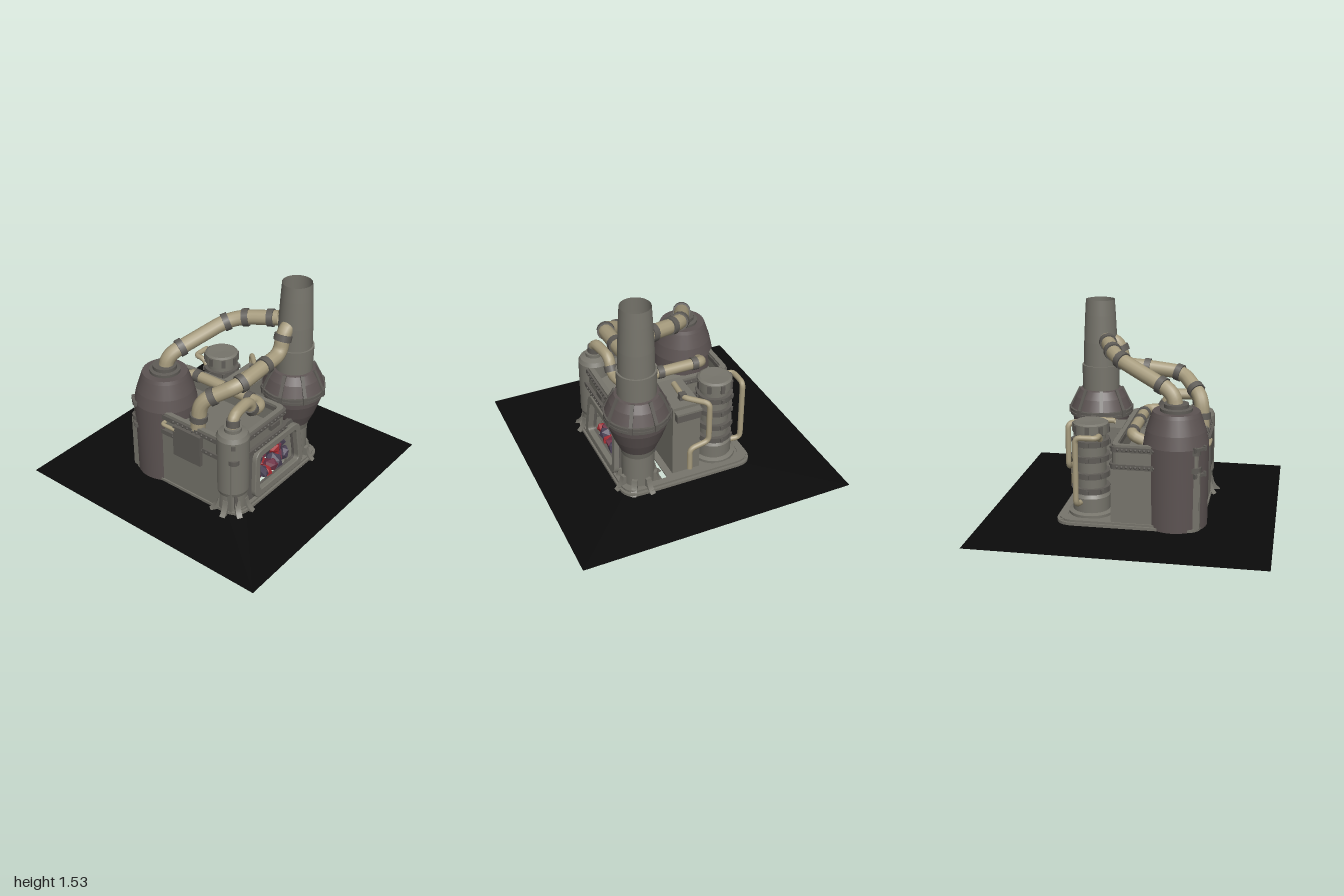
import * as THREE from 'three';

const mat = (color, flatShading = false) =>
  new THREE.MeshStandardMaterial({ color, flatShading, side: THREE.DoubleSide });
const steel = mat(0x77756c), iron = mat(0x5f5c57), rust = mat(0x5c5352), tan = mat(0xa69b7d), black = mat(0x0b0b0b);
const V = (x, y, z) => new THREE.Vector3(x, y, z);

function add(parent, name, geometry, material, x = 0, y = 0, z = 0) {
  const mesh = new THREE.Mesh(geometry, material);
  mesh.name = name;
  mesh.position.set(x, y, z);
  parent.add(mesh);
  return mesh;
}

const box = (parent, name, m, w, h, d, x, y, z) => add(parent, name, new THREE.BoxGeometry(w, h, d), m, x, y, z);

// Turned part; profile is a list of [radius, height], doubled points keep edges crisp
function turned(parent, name, profile, m, x, z, sides = 28) {
  const pts = [];
  profile.forEach(([r, y], i) => {
    pts.push(new THREE.Vector2(r, y));
    if (i && i < profile.length - 1) pts.push(new THREE.Vector2(r, y + 1e-4));
  });
  return add(parent, name, new THREE.LatheGeometry(pts, sides), m, x, 0, z);
}

// Polygon with rounded corners
function rounded(corners, r, target = new THREE.Shape()) {
  const p = corners.map(([x, y]) => new THREE.Vector2(x, y)), n = p.length;
  p.forEach((c, i) => {
    const toward = q => c.clone().add(q.clone().sub(c).setLength(r));
    const a = toward(p[(i + n - 1) % n]), b = toward(p[(i + 1) % n]);
    i ? target.lineTo(a.x, a.y) : target.moveTo(a.x, a.y);
    target.quadraticCurveTo(c.x, c.y, b.x, b.y);
  });
  target.closePath();
  return target;
}
const rect = (x0, x1, z0, z1) => [[x0, -z0], [x0, -z1], [x1, -z1], [x1, -z0]];

// Horizontal ring with rounded corners, cut from a plan
function planRing(parent, name, m, b, wall, r, y, height) {
  const shape = rounded(rect(...b), r);
  shape.holes.push(rounded(rect(b[0] + wall, b[1] - wall, b[2] + wall, b[3] - wall), r * 0.8, new THREE.Path()));
  const g = new THREE.ExtrudeGeometry(shape, { depth: height, bevelEnabled: false, curveSegments: 6 }).rotateX(-Math.PI / 2);
  return add(parent, name, g, m, 0, y, 0);
}

// Pipe with rounded bends, and collars at given fractions of its length
function pipe(parent, name, points, radius, bend, collars = [], m = tan) {
  const group = new THREE.Group(), path = new THREE.CurvePath();
  group.name = name;
  let from = points[0];
  for (let i = 1; i < points.length - 1; i++) {
    const c = points[i];
    const toward = q => c.clone().lerp(q, Math.min(0.48, bend / c.distanceTo(q)));
    const a = toward(points[i - 1]), b = toward(points[i + 1]);
    path.add(new THREE.LineCurve3(from, a));
    path.add(new THREE.QuadraticBezierCurve3(a, c, b));
    from = b;
  }
  path.add(new THREE.LineCurve3(from, points.at(-1)));
  add(group, 'tube', new THREE.TubeGeometry(path, 60, radius, 12), m);
  for (const t of collars) {
    const p = path.getPointAt(t);
    const c = add(group, 'collar', new THREE.CylinderGeometry(radius * 1.2, radius * 1.2, 0.045, 14), iron, p.x, p.y, p.z);
    c.quaternion.setFromUnitVectors(V(0, 1, 0), path.getTangentAt(t));
  }
  parent.add(group);
}

// Parts repeated around a vertical axis; make() builds one facing +x
function around(parent, name, n, x, z, make, phase = 0) {
  for (let i = 0; i < n; i++) {
    const g = new THREE.Group();
    g.name = name;
    g.position.set(x, 0, z);
    g.rotation.y = phase + (i / n) * Math.PI * 2;
    make(g);
    parent.add(g);
  }
}

function footFins(parent, n, x, z, r) {
  const s = new THREE.Shape();
  s.moveTo(r - 0.02, 0.1);
  s.lineTo(r + 0.065, 0.1);
  s.quadraticCurveTo(r + 0.02, 0.13, r + 0.01, 0.2);
  s.lineTo(r - 0.02, 0.2);
  around(parent, 'footFin', n, x, z, g =>
    add(g, 'fin', new THREE.ExtrudeGeometry(s, { depth: 0.04, bevelEnabled: false }), steel, 0, 0, -0.02), 0.2);
}

function rivetRow(parent, a, b, n) {
  for (let i = 0; i < n; i++) {
    const p = a.clone().lerp(b, (i + 0.5) / n);
    add(parent, 'rivet', new THREE.SphereGeometry(0.01, 6, 5), iron, p.x, p.y, p.z);
  }
}

export function createModel() {
  const root = new THREE.Group();
  root.name = 'furnace';

  // Ground sheet, cut out beneath the base
  const sheet = new THREE.Shape([[-1, -1], [1, -1], [1, 1], [-1, 1]].map(p => new THREE.Vector2(...p)));
  sheet.holes.push(rounded(rect(-0.48, 0.47, -0.48, 0.47), 0.1, new THREE.Path()));
  add(root, 'groundSheet', new THREE.ShapeGeometry(sheet).rotateX(-Math.PI / 2), black, 0, 0.1, 0);

  // Base plate and deck beside the firebox
  planRing(root, 'baseRim', steel, [-0.51, 0.5, -0.505, 0.5], 0.05, 0.13, 0.1, 0.02);
  planRing(root, 'baseStep', steel, [-0.5, 0.48, -0.49, 0.485], 0.05, 0.12, 0.12, 0.015);
  box(root, 'deck', steel, 0.36, 0.01, 0.62, 0.28, 0.125, -0.16);

  // Main housing: lower walls, two upper tiers and riveted bands
  box(root, 'leftWall', steel, 0.03, 0.41, 0.9, -0.485, 0.325, -0.02);
  box(root, 'backWall', steel, 0.59, 0.41, 0.03, -0.2, 0.325, -0.465);
  box(root, 'rightWall', steel, 0.03, 0.41, 0.58, 0.09, 0.325, -0.19);
  planRing(root, 'upperTier', steel, [-0.49, 0.1, -0.48, 0.44], 0.035, 0.05, 0.53, 0.16);
  const bands = [[0.52, [-0.505, 0.115, -0.49, 0.465]], [0.64, [-0.5, 0.11, -0.487, 0.455]]];
  for (const [y, b] of bands) {
    planRing(root, 'rivetedBand', iron, b, 0.05, 0.05, y, 0.035);
    const yc = y + 0.018, [x0, x1, z0, z1] = b;
    rivetRow(root, V(-0.3, yc, z1), V(x1 - 0.02, yc, z1), 10);
    rivetRow(root, V(x0 + 0.3, yc, z0), V(x1 - 0.04, yc, z0), 9);
    rivetRow(root, V(x0, yc, -0.1), V(x0, yc, 0.28), 9);
    rivetRow(root, V(x1, yc, z0 + 0.04), V(x1, yc, -0.12), 8);
  }
  const floor = box(root, 'hopperFloor', steel, 0.58, 0.012, 0.88, -0.195, 0.57, -0.02);
  floor.rotation.z = -0.15;

  // Front wall and window frame, leaning back slightly
  const front = new THREE.Group();
  front.name = 'fireboxFront';
  front.position.set(0, 0.12, 0.455);
  front.rotation.x = -0.07;
  root.add(front);
  const windowHole = () => rounded([[-0.255, 0.06], [0.23, 0.06], [0.205, 0.335], [-0.23, 0.335]], 0.04, new THREE.Path());
  const panel = (name, outer, r, depth, z, m) => {
    const s = rounded(outer, r);
    s.holes.push(windowHole());
    add(front, name, new THREE.ExtrudeGeometry(s, { depth, bevelEnabled: true, bevelSize: 0.006, bevelThickness: 0.006, bevelSegments: 2 }), m, 0, 0, z);
  };
  panel('frontWall', [[-0.47, 0], [0.27, 0], [0.25, 0.41], [-0.47, 0.41]], 0.02, 0.02, -0.02, iron);
  panel('windowFrame', [[-0.305, 0.02], [0.27, 0.02], [0.24, 0.375], [-0.265, 0.375]], 0.07, 0.035, 0, steel);
  box(root, 'frontBracket', iron, 0.1, 0.04, 0.03, -0.05, 0.62, 0.45);

  // Glowing coals heaped in the firebox
  let seed = 7;
  const rnd = () => (seed = (seed * 16807) % 2147483647) / 2147483647;
  const coalMats = [0xa02a30, 0xc9902c, 0x4a4154, 0xb8432c, 0x6d3346, 0x53504f].map(c => mat(c, true));
  for (let i = 0; i < 48; i++) {
    const layer = Math.floor(i / 18);
    const coal = add(root, 'coal', new THREE.IcosahedronGeometry(0.045 + rnd() * 0.02, 0), coalMats[i % 6],
      -0.22 + ((i % 9) + rnd() * 0.6) * 0.05, 0.2 + layer * 0.06 + rnd() * 0.03, 0.4 - layer * 0.06 - (i % 2) * 0.13 - rnd() * 0.06);
    coal.rotation.set(rnd() * 6, rnd() * 6, rnd() * 6);
    coal.scale.set(1.2, 0.8, 1);
  }

  // Control block on the left side, with a hooded vent
  box(root, 'sideBlock', steel, 0.31, 0.57, 0.21, 0.25, 0.41, -0.005);
  box(root, 'ventHood', iron, 0.05, 0.06, 0.18, 0.425, 0.63, -0.005);
  box(root, 'ventLip', steel, 0.06, 0.015, 0.19, 0.425, 0.665, -0.005);

  // Box and small pipe on the other side wall
  box(root, 'wallBox', iron, 0.035, 0.24, 0.24, -0.51, 0.53, 0.06);
  pipe(root, 'wallPipe', [V(-0.49, 0.62, -0.16), V(-0.525, 0.62, -0.16), V(-0.525, 0.62, -0.04)], 0.014, 0.03);

  // Large storage tank with shoulder, neck and handles
  const tx = -0.315, tz = -0.307;
  turned(root, 'largeTank', [[0, 0], [0.222, 0], [0.225, 0.68], [0.205, 0.77], [0.17, 0.875], [0.16, 0.9], [0, 0.9]], rust, tx, tz);
  turned(root, 'tankNeck', [[0.11, 0.89], [0.11, 0.92], [0.085, 0.925], [0.085, 0.95], [0, 0.95]], iron, tx, tz);
  for (const y of [0.5, 0.68]) around(root, 'tankHandle', 1, tx, tz, g => {
    box(g, 'bar', iron, 0.02, 0.02, 0.1, 0.23, y, 0);
    for (const s of [-1, 1]) box(g, 'lug', iron, 0.03, 0.035, 0.02, 0.222, y, s * 0.045);
  }, Math.PI - 0.66);

  // Chimney with collar, domed flange and funnel
  const cx = 0.335, cz = 0.335;
  turned(root, 'chimney', [[0.105, 1.53], [0.112, 1.42], [0.122, 1.22], [0.125, 1.05]], steel, cx, cz);
  turned(root, 'chimneyCollar', [[0.124, 1.05], [0.138, 1.05], [0.135, 0.87]], steel, cx, cz);
  turned(root, 'dome', [[0.135, 0.87], [0.155, 0.865], [0.19, 0.81], [0.222, 0.73]], rust, cx, cz);
  for (const y of [0.715, 0.69]) {
    turned(root, 'flange', [[0.2, y + 0.01], [0.232, y + 0.01], [0.232, y - 0.01], [0.2, y - 0.01]], iron, cx, cz);
  }
  turned(root, 'funnel', [[0.215, 0.685], [0.208, 0.63], [0.17, 0.52], [0.13, 0.43]], rust, cx, cz);
  turned(root, 'chimneyBase', [[0.13, 0.43], [0.115, 0.38], [0.115, 0.14], [0.122, 0.08], [0, 0.08]], steel, cx, cz);
  around(root, 'domeStrap', 8, cx, cz, g => {
    box(g, 'strap', iron, 0.018, 0.16, 0.025, 0.19, 0.8, 0).rotation.z = 0.46;
    box(g, 'clamp', iron, 0.03, 0.05, 0.03, 0.225, 0.71, 0);
  }, 0.2);
  footFins(root, 8, cx, cz, 0.125);

  // Slim front cylinder
  turned(root, 'frontCylinder', [[0, 0.09], [0.108, 0.09], [0.105, 0.24], [0.115, 0.27], [0.115, 0.69], [0.1, 0.72], [0.06, 0.735], [0.06, 0.76], [0, 0.76]], steel, -0.4, 0.365);
  footFins(root, 8, -0.4, 0.365, 0.1);

  // Banded boiler in the back corner
  const bx = 0.28, bz = -0.28;
  turned(root, 'boiler', [[0.16, 0.13], [0.16, 0.15], [0.13, 0.16], [0.13, 0.26], [0.105, 0.3], [0.105, 0.7], [0.122, 0.71], [0.122, 0.78], [0.105, 0.79], [0, 0.785]], steel, bx, bz);
  for (const y of [0.31, 0.42, 0.54, 0.65]) {
    turned(root, 'boilerBand', [[0.1, y - 0.02], [0.13, y - 0.02], [0.13, y + 0.02], [0.1, y + 0.02]], iron, bx, bz);
    around(root, 'bandLug', 8, bx, bz, g => box(g, 'lug', iron, 0.02, 0.03, 0.02, 0.13, y, 0));
  }
  around(root, 'capLug', 8, bx, bz, g => box(g, 'lug', iron, 0.015, 0.06, 0.03, 0.122, 0.745, 0));

  // Large pipes from the tank and the housing to the chimney
  pipe(root, 'tankPipe', [V(-0.315, 0.9, -0.307), V(-0.29, 1.02, -0.29), V(0.1, 1.18, -0.1), V(0.18, 1.215, 0), V(0.27, 1.25, 0.24)],
    0.053, 0.09, [0.22, 0.6, 0.75, 0.94]);
  pipe(root, 'housingPipe', [V(-0.45, 0.66, 0.1), V(-0.44, 0.88, 0.12), V(-0.28, 1.01, 0.325), V(0.0, 1.04, 0.335), V(0.16, 1.05, 0.335), V(0.19, 1.2, 0.335), V(0.27, 1.24, 0.335)],
    0.053, 0.08, [0.08, 0.26, 0.45, 0.66, 0.9]);

  // Medium pipe from the front cylinder across the housing
  pipe(root, 'cylinderPipe', [V(-0.4, 0.74, 0.365), V(-0.39, 0.84, 0.36), V(-0.18, 0.84, 0.33), V(-0.14, 0.72, 0.33), V(-0.01, 0.72, 0.32), V(-0.01, 0.72, -0.33), V(-0.1, 0.68, -0.33)],
    0.04, 0.07, [0.04, 0.3, 0.5, 0.66, 0.88]);

  // Thin pipes
  pipe(root, 'sidePipe', [V(0.16, 0.72, -0.02), V(0.34, 0.72, -0.01), V(0.475, 0.72, -0.145), V(0.475, 0.4, -0.145), V(0.475, 0.37, 0), V(0.475, 0.2, 0)], 0.02, 0.04);
  box(root, 'pipeClip', iron, 0.04, 0.05, 0.05, 0.32, 0.72, -0.01);
  pipe(root, 'boilerPipe', [V(0.2, 0.68, -0.36), V(0.2, 0.72, -0.39), V(0.2, 0.72, -0.465), V(0.35, 0.72, -0.465), V(0.35, 0.24, -0.465), V(0.33, 0.23, -0.38)], 0.02, 0.04);

  return root;
}
